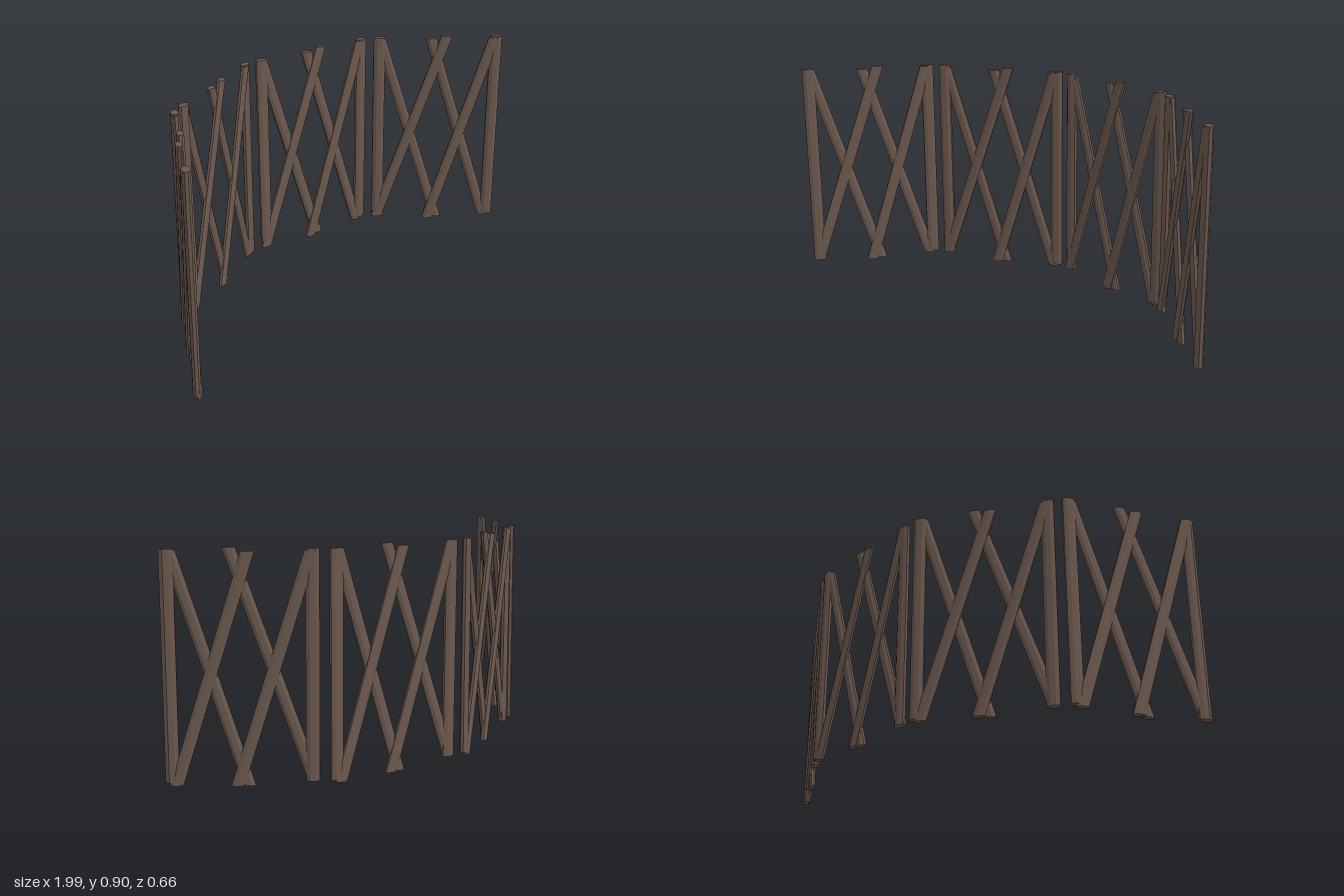
import * as THREE from 'three';

const wood = new THREE.MeshStandardMaterial({ color: 0x6b584e, flatShading: true });

// Flattened eight-sided pole with level ends, leaning from (x0, y0) to (x1, y1)
function pole(name, [x0, y0], [x1, y1], z = 0, width = 0.052, depth = 0.03) {
  const h = y1 - y0;
  const g = new THREE.CylinderGeometry(0.5, 0.5, h, 8, 1);
  g.rotateY(Math.PI / 8);
  g.scale(width / 0.924, 1, depth / 0.924);
  const p = g.attributes.position;
  for (let i = 0; i < p.count; i++) {
    p.setX(i, p.getX(i) + (p.getY(i) / h) * (x1 - x0));
  }
  g.computeVertexNormals();
  g.translate((x0 + x1) / 2, (y0 + y1) / 2, z);
  const m = new THREE.Mesh(g, wood);
  m.name = name;
  return m;
}

// One fence panel: two end posts and four crossing braces
function panel() {
  const g = new THREE.Group();
  g.add(
    pole('leftPost', [-0.252, 0.02], [-0.262, 0.9]),
    pole('rightPost', [0.274, 0.02], [0.266, 0.9]),
    // braces on the front side
    pole('frontBrace', [-0.257, 0.02], [0.042, 0.905], 0.005, 0.05, 0.026),
    pole('frontBrace', [-0.012, 0.003], [0.258, 0.895], 0.005, 0.05, 0.026),
    // braces on the back side
    pole('backBrace', [0.03, 0.006], [-0.258, 0.895], -0.005, 0.05, 0.026),
    pole('backBrace', [0.258, 0.01], [-0.028, 0.892], -0.005, 0.05, 0.026),
  );
  return g;
}

export function createModel() {
  const fence = new THREE.Group();
  fence.name = 'fence';
  // centre x, centre z, run in x, run in z
  const layout = [
    [-0.808, 0.095, 0.36, -0.45],
    [-0.317, -0.228, 0.53, -0.175],
    [0.277, -0.237, 0.54, 0.135],
    [0.785, 0.07, 0.395, 0.41],
  ];
  layout.forEach(([x, z, dx, dz], i) => {
    const p = panel();
    p.name = `fencePanel${i + 1}`;
    p.position.set(x, 0, z);
    p.rotation.y = -Math.atan2(dz, dx);
    fence.add(p);
  });
  return fence;
}
